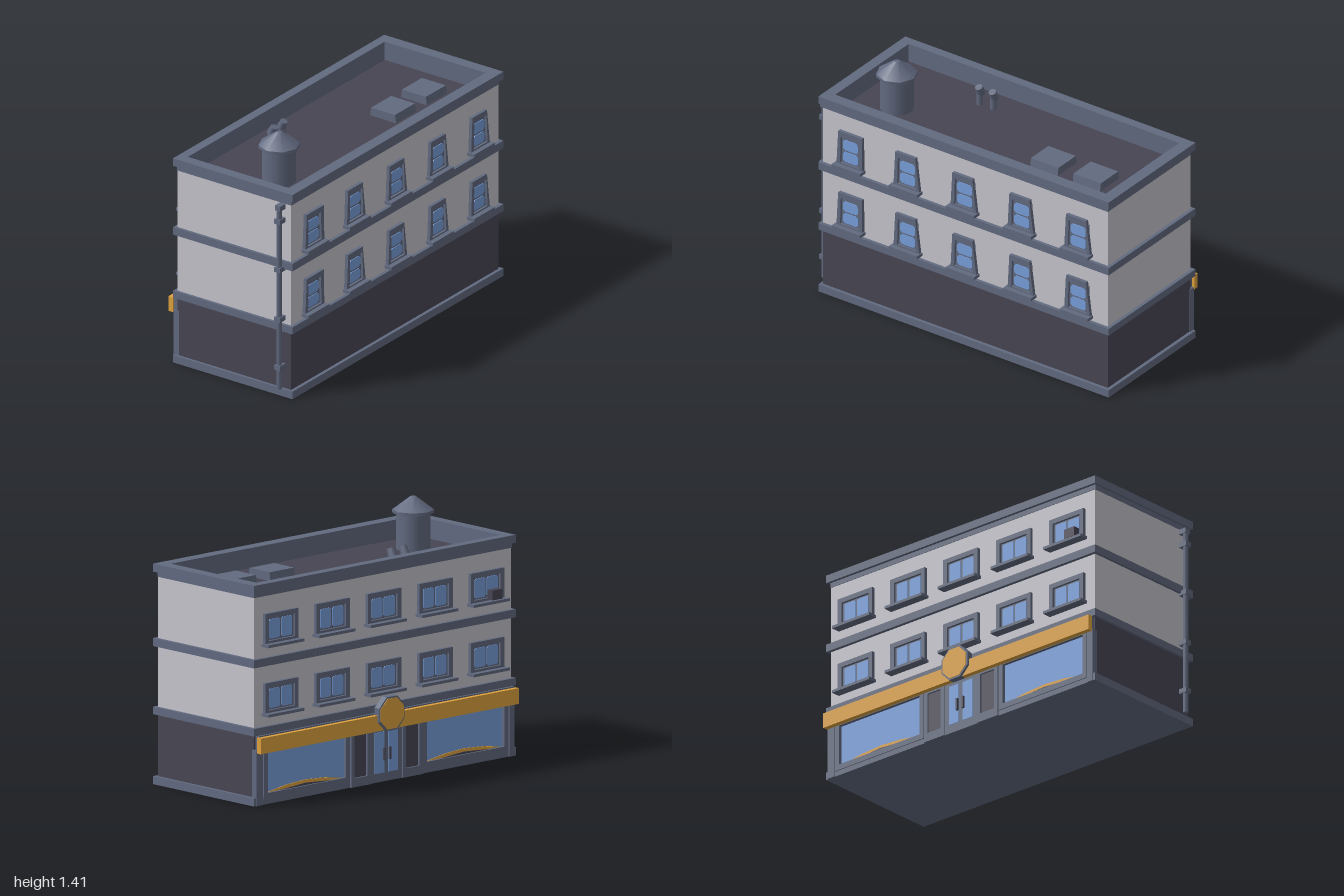
import * as THREE from 'three';

const mat = (name, color) => {
  const m = new THREE.MeshStandardMaterial({ color });
  m.name = name;
  return m;
};

export function createModel() {
  const wall = mat('pale wall', 0xc6c5cd);
  const slate = mat('slate trim', 0x626a80);
  const dark = mat('dark masonry', 0x484553);
  const glass = mat('blue glass', 0x789fdc);
  const gold = mat('gold sign', 0xdea23e);

  const root = new THREE.Group();
  root.name = 'building';

  const add = (parent, name, geo, m, x = 0, y = 0, z = 0) => {
    const mesh = new THREE.Mesh(geo, m);
    mesh.name = name;
    mesh.position.set(x, y, z);
    parent.add(mesh);
    return mesh;
  };
  // Box given by its limits on each axis
  const box = (parent, name, m, x0, x1, y0, y1, z0, z1) =>
    add(parent, name, new THREE.BoxGeometry(x1 - x0, y1 - y0, z1 - z0), m, (x0 + x1) / 2, (y0 + y1) / 2, (z0 + z1) / 2);
  const poly = (pts) => pts.map(([x, y]) => new THREE.Vector2(x, y));
  const rect = (x0, x1, y0, y1) => [[x0, y0], [x1, y0], [x1, y1], [x0, y1]];
  // Polygon plate with optional holes, from z to z + depth
  const plate = (parent, name, m, pts, holes, z, depth) => {
    const s = new THREE.Shape(poly(pts));
    holes.forEach((h) => s.holes.push(new THREE.Path(poly(h))));
    return add(parent, name, new THREE.ExtrudeGeometry(s, { depth, bevelEnabled: false }), m, 0, 0, z);
  };
  // Horizontal rectangular ring
  const ring = (name, m, outer, inner, y0, y1) => {
    const s = new THREE.Shape(poly(outer));
    s.holes.push(new THREE.Path(poly(inner)));
    const g = new THREE.ExtrudeGeometry(s, { depth: y1 - y0, bevelEnabled: false });
    g.rotateX(-Math.PI / 2);
    add(root, name, g, m, 0, y0, 0);
  };

  // Floors and horizontal bands
  box(root, 'groundFloor', dark, -0.942, 0.98, 0.02, 0.41, -0.37, 0.395);
  box(root, 'upperFloors', wall, -0.942, 0.98, 0.41, 1.1, -0.37, 0.395);
  [[0, 0.045], [0.39, 0.432], [0.77, 0.815]].forEach(([a, b]) =>
    box(root, 'band', slate, -0.958, 1.0, a, b, -0.39, 0.415));

  // Parapet and sunken roof
  const inner = rect(-0.895, 0.93, -0.345, 0.335);
  ring('wallTop', wall, rect(-0.942, 0.98, -0.395, 0.37), rect(-0.92, 0.955, -0.37, 0.35), 1.1, 1.157);
  ring('parapetLiner', slate, rect(-0.92, 0.955, -0.37, 0.35), inner, 1.1, 1.19);
  ring('parapetTrim', slate, rect(-0.945, 0.983, -0.398, 0.373), inner, 1.157, 1.19);
  ring('parapetCap', slate, rect(-0.958, 1.0, -0.415, 0.39), inner, 1.185, 1.23);
  box(root, 'roof', dark, -0.92, 0.955, 1.09, 1.12, -0.35, 0.37);

  // Rooftop tank with conical lid
  const tank = new THREE.Group();
  tank.name = 'roofTank';
  tank.position.set(-0.655, 0, 0.105);
  root.add(tank);
  add(tank, 'tankBody', new THREE.CylinderGeometry(0.094, 0.094, 0.21, 16), slate, 0, 1.22, 0);
  add(tank, 'tankBrim', new THREE.CylinderGeometry(0.115, 0.115, 0.018, 8), slate, 0, 1.33, 0);
  add(tank, 'tankLid', new THREE.CylinderGeometry(0.016, 0.115, 0.074, 8), slate, 0, 1.376, 0);

  // Roof vents
  [-0.31, -0.218].forEach((x) => {
    add(root, 'ventPipe', new THREE.CylinderGeometry(0.018, 0.018, 0.09, 8), slate, x, 1.16, -0.19);
    const cap = add(root, 'ventCap', new THREE.CylinderGeometry(0.022, 0.026, 0.05, 8), slate, x, 1.208, -0.19);
    cap.rotation.x = 0.4;
  });

  // Skylights, narrowing a little to the top
  [0.402, 0.688].forEach((x) => {
    const g = new THREE.BoxGeometry(0.185, 0.05, 0.175);
    const p = g.attributes.position;
    for (let i = 0; i < p.count; i++) if (p.getY(i) > 0) p.setZ(i, p.getZ(i) * 0.92);
    g.computeVertexNormals();
    add(root, 'skylight', g, slate, x, 1.143, 0.105);
  });

  // Drainpipe
  const pipe = new THREE.Group();
  pipe.name = 'drainpipe';
  root.add(pipe);
  add(pipe, 'pipe', new THREE.CylinderGeometry(0.015, 0.015, 1.09, 8), slate, -0.975, 0.595, 0.338);
  box(pipe, 'pipeHead', slate, -0.99, -0.935, 1.125, 1.155, 0.32, 0.356);
  [0.18, 0.47, 0.77, 1.06].forEach((y) => box(pipe, 'pipeClamp', slate, -0.995, -0.94, y - 0.014, y + 0.014, 0.319, 0.357));

  const columns = [-0.752, -0.367, 0.018, 0.403, 0.785];
  const rows = [0, 0.387];
  const pane = (x0, x1, y0, y1, c) => [
    [x0 + c, y0], [x1 - c, y0], [x1, y0 + c], [x1, y1 - c],
    [x1 - c, y1], [x0 + c, y1], [x0, y1 - c], [x0, y0 + c]];

  // Front windows: lopsided frames with two stacked panes
  rows.forEach((dy) => columns.forEach((x, i) => {
    const w = new THREE.Group();
    w.name = 'frontWindow';
    w.position.set(x, 0.455 + dy, 0.395);
    root.add(w);
    const top = i === 0 ? 0.088 : 0.062;
    plate(w, 'frame', slate, [[-0.085, 0], [0.09, 0], [top, 0.217], [-0.073, 0.217]],
      [[[-0.06, 0.022], [0.067, 0.022], [0.058, 0.185], [-0.055, 0.185]]], -0.005, 0.025);
    box(w, 'sash', slate, -0.07, 0.07, 0.01, 0.19, -0.005, 0.006);
    [[0.03, 0.092], [0.103, 0.166]].forEach(([a, b]) =>
      plate(w, 'pane', glass, pane(-0.048, 0.053, a, b, 0.012), [], 0.005, 0.005));
    box(w, 'sill', slate, -0.096, 0.096, -0.005, 0.013, 0, 0.05);
  }));

  // Back side, built facing its own +z
  const back = new THREE.Group();
  back.name = 'shopSide';
  back.rotation.y = Math.PI;
  root.add(back);

  // Back windows: wide frames with two panes side by side
  rows.forEach((dy, r) => columns.forEach((x, i) => {
    const w = new THREE.Group();
    w.name = 'backWindow';
    w.position.set(-x - 0.005, 0.49 + dy, 0.37);
    back.add(w);
    plate(w, 'frame', slate, rect(-0.125, 0.125, 0, 0.183), [rect(-0.098, 0.098, 0.03, 0.155)], -0.005, 0.025);
    box(w, 'sash', slate, -0.1, 0.1, 0.02, 0.16, -0.005, 0.006);
    [-1, 1].forEach((s) => plate(w, 'pane', glass, pane(s * 0.046 - 0.04, s * 0.046 + 0.04, 0.038, 0.147, 0.008), [], 0.005, 0.005));
    box(w, 'sill', slate, -0.135, 0.135, 0, 0.016, 0, 0.055);
    if (r === 1 && i === 0) box(w, 'airConditioner', dark, 0.01, 0.085, 0.02, 0.075, 0, 0.05);
  }));

  // Shop sign with octagonal emblem
  box(back, 'signBacking', slate, -0.97, 0.935, 0.3, 0.39, 0.36, 0.403);
  box(back, 'signBoard', gold, -0.985, 0.945, 0.295, 0.383, 0.4, 0.43);
  const disc = (name, m, r, depth, z) => {
    const g = new THREE.CylinderGeometry(r, r, depth, 8).toNonIndexed();
    g.rotateY(Math.PI / 8).rotateX(Math.PI / 2);
    g.computeVertexNormals();
    add(back, name, g, m, -0.018, 0.385, z);
  };
  disc('emblemRim', slate, 0.102, 0.038, 0.425);
  disc('emblemFace', gold, 0.092, 0.006, 0.444);

  // Shop windows
  [[-0.93, -0.285], [0.26, 0.9]].forEach(([a, b]) => {
    plate(back, 'shopFrame', slate, rect(a, b, 0.03, 0.31), [rect(a + 0.03, b - 0.03, 0.062, 0.295)], 0.365, 0.03);
    box(back, 'shopGlass', glass, a + 0.02, b - 0.02, 0.05, 0.305, 0.365, 0.376);
    const m = (a + b) / 2, h = (b - a) / 2 - 0.03;
    plate(back, 'windowLedge', gold, [[m - h, 0.06], [m + h, 0.06], [m + h * 0.5, 0.083], [m, 0.092], [m - h * 0.5, 0.083]], [], 0.375, 0.005);
    plate(back, 'ledgeShadowBoard', dark, [[m - h, 0.055], [m + h, 0.055], [m, 0.075]], [], 0.378, 0.006);
  });

  // End pilasters and panelled pilasters beside the door
  [[-0.985, -0.935], [0.905, 0.945]].forEach(([a, b]) => box(back, 'pilaster', slate, a, b, 0, 0.31, 0.36, 0.395));
  [[-0.28, -0.135], [0.105, 0.255]].forEach(([a, b]) => {
    plate(back, 'panelFrame', slate, rect(a, b, 0, 0.31), [rect(a + 0.025, b - 0.025, 0.05, 0.285)], 0.365, 0.034);
    box(back, 'panel', dark, a + 0.02, b - 0.02, 0.04, 0.3, 0.365, 0.388);
  });

  // Double door
  box(back, 'doorFrame', slate, -0.135, 0.105, 0, 0.31, 0.365, 0.393);
  [-1, 1].forEach((s) => {
    const c = -0.015 + s * 0.05;
    plate(back, 'doorGlass', glass, rect(c - 0.036, c + 0.036, 0.05, 0.28), [], 0.39, 0.006);
    box(back, 'doorHandle', dark, -0.015 + s * 0.022 - 0.005, -0.015 + s * 0.022 + 0.005, 0.12, 0.19, 0.39, 0.408);
  });

  return root;
}
